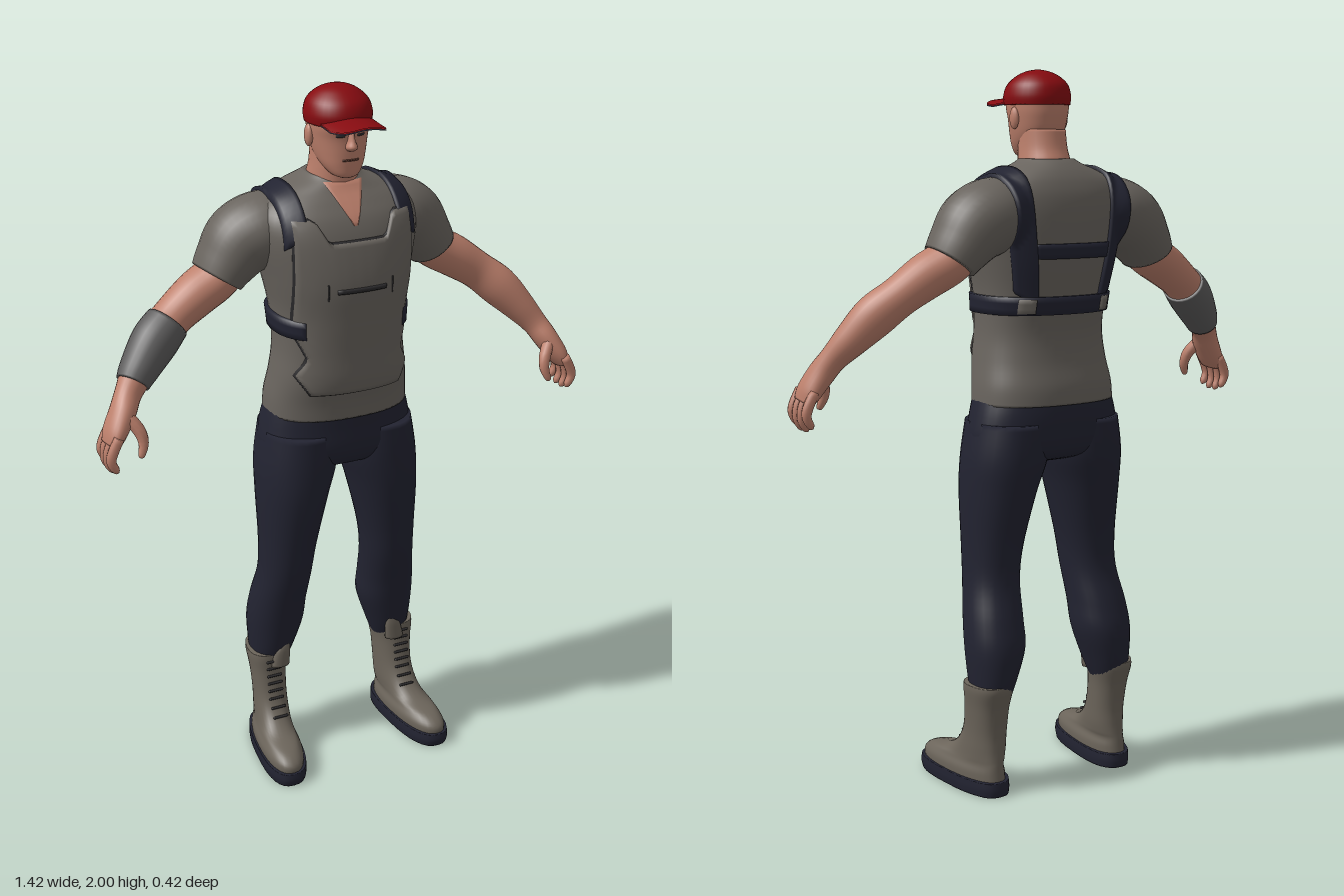
import * as THREE from 'three';

const V = (x, y, z) => new THREE.Vector3(x, y, z);
const paint = (name, color) => {
  const m = new THREE.MeshStandardMaterial({ color, side: THREE.DoubleSide });
  m.name = name;
  return m;
};

// Catmull-Rom through rows of numbers
function spline(rows, k = 5) {
  const out = [], at = i => rows[Math.max(0, Math.min(rows.length - 1, i))];
  for (let i = 0; i < rows.length - 1; i++) {
    const [a, b, c, d] = [at(i - 1), at(i), at(i + 1), at(i + 2)];
    for (let s = 0; s < k; s++) {
      const t = s / k;
      out.push(b.map((p, j) => p + 0.5 * t * (c[j] - a[j] + t * (2 * a[j] - 5 * p + 4 * c[j] - d[j]
        + t * (3 * (p - c[j]) + d[j] - a[j])))));
    }
  }
  out.push(rows[rows.length - 1]);
  return out;
}

function build(name, mat, pts, index) {
  const g = new THREE.BufferGeometry().setFromPoints(pts);
  g.setIndex(index);
  g.computeVertexNormals();
  const m = new THREE.Mesh(g, mat);
  m.name = name;
  return m;
}

// Skin over closed rings, capped at both ends
function loft(name, mat, rings) {
  const n = rings[0].length, pts = rings.flat(), idx = [], last = (rings.length - 1) * n;
  for (let i = 0; i < rings.length - 1; i++) for (let j = 0; j < n; j++) {
    const a = i * n + j, b = i * n + (j + 1) % n;
    idx.push(a, a + n, b, b, a + n, b + n);
  }
  const mid = r => r.reduce((s, p) => s.add(p), V(0, 0, 0)).divideScalar(n);
  const c0 = pts.push(mid(rings[0])) - 1, c1 = pts.push(mid(rings[rings.length - 1])) - 1;
  for (let j = 0; j < n; j++) {
    const k = (j + 1) % n;
    idx.push(c0, j, k, c1, last + k, last + j);
  }
  return build(name, mat, pts, idx);
}

// Upright form; rows rise: [y, centre x, half width, front z, back z]
function body(name, mat, rows, n = 2.2, seg = 32, shear = 0) {
  const p = (c, e = 2 / n) => Math.sign(c) * Math.abs(c) ** e;
  return loft(name, mat, spline(rows).map(([y, xc, rx, zf, zb]) => Array.from({ length: seg }, (_, j) => {
    const t = j / seg * 2 * Math.PI, z = (zf + zb) / 2 + (zf - zb) / 2 * p(Math.sin(t));
    return V(xc + rx * p(Math.cos(t)) + shear * Math.max(0, z + 0.1), y, z);
  })));
}

// Limb along a path; rows: [x, y, z, radius across, radius in depth]
function limb(name, mat, rows, seg = 20, k = 5) {
  const s = spline(rows, k), pos = s.map(r => V(r[0], r[1], r[2]));
  return loft(name, mat, s.map((r, i) => {
    const t = pos[Math.min(i + 1, s.length - 1)].clone().sub(pos[Math.max(i - 1, 0)]).normalize();
    const A = t.clone().cross(V(0, 0, 1)).normalize(), B = A.clone().cross(t);
    return Array.from({ length: seg }, (_, j) => {
      const a = j / seg * 2 * Math.PI;
      return pos[i].clone().addScaledVector(A, r[3] * Math.cos(a)).addScaledVector(B, r[4] * Math.sin(a));
    });
  }));
}

// Thin patch laid on target meshes; ray(u, v) gives [aim point, inward direction]
function drape(name, mat, targets, nu, nv, off, ray) {
  const pts = [], idx = [], caster = new THREE.Raycaster(), w = nu + 3;
  for (let j = -1; j <= nv + 1; j++) for (let i = -1; i <= nu + 1; i++) {
    const u = Math.min(nu, Math.max(0, i)) / nu, v = Math.min(nv, Math.max(0, j)) / nv;
    const edge = i < 0 || j < 0 || i > nu || j > nv;
    const [aim, dir] = ray(u, v);
    dir.normalize();
    caster.set(aim.clone().addScaledVector(dir, -1), dir);
    const hit = caster.intersectObjects(targets, false)[0];
    pts.push((hit ? hit.point : aim.clone()).addScaledVector(dir, edge ? 0.004 : -off));
    if (i <= nu && j <= nv) {
      const a = (j + 1) * w + i + 1;
      idx.push(a, a + 1, a + w, a + 1, a + w + 1, a + w);
    }
  }
  return build(name, mat, pts, idx);
}

function mirror(mesh) {
  const g = mesh.geometry.clone().scale(-1, 1, 1), a = g.index.array;
  for (let i = 0; i < a.length; i += 3) [a[i], a[i + 1]] = [a[i + 1], a[i]];
  g.computeVertexNormals();
  const m = new THREE.Mesh(g, mesh.material);
  m.name = mesh.name.replace('left', 'right');
  return m;
}

export function createModel() {
  const model = new THREE.Group();
  model.name = 'workman';
  const skin = paint('skin', 0xbd806c), cloth = paint('grey cloth', 0x69645e), navy = paint('navy', 0x222331);
  const red = paint('cap red', 0x860b10), leather = paint('boot leather', 0x6b645a), dark = paint('dark seam', 0x2b2a2c);
  const brown = paint('brow brown', 0x5c3a30), band = paint('wrap grey', 0x5d5c5c);
  const add = (...m) => model.add(...m);
  const pair = m => add(m, mirror(m));
  const flat = (x, y) => [V(x, y, 0), V(0, 0, -1)];
  const rect = (x0, x1, y0, y1) => (u, v) => flat(x0 + (x1 - x0) * u, y0 + (y1 - y0) * v);
  const lerp = THREE.MathUtils.lerp;

  // Shirt
  const torso = body('shirt', cloth, [
    [1.1, 0, 0.206, 0.105, -0.178], [1.15, 0, 0.203, 0.11, -0.175], [1.22, 0, 0.192, 0.125, -0.16],
    [1.3, 0, 0.182, 0.128, -0.157], [1.4, 0, 0.185, 0.134, -0.178], [1.5, 0, 0.205, 0.138, -0.195],
    [1.6, 0, 0.228, 0.122, -0.2], [1.66, 0, 0.226, 0.1, -0.195], [1.7, 0, 0.198, 0.07, -0.182],
    [1.728, 0, 0.145, 0.045, -0.165], [1.75, 0, 0.09, 0.03, -0.145], [1.762, 0, 0.07, 0.02, -0.13]], 2.4, 48);
  const sleeve = limb('left sleeve', cloth, [
    [0.12, 1.625, -0.07, 0.085, 0.1], [0.19, 1.615, -0.08, 0.1, 0.115], [0.25, 1.585, -0.087, 0.1, 0.108],
    [0.295, 1.535, -0.086, 0.082, 0.098], [0.322, 1.497, -0.083, 0.07, 0.089]], 28);
  const sleeveR = mirror(sleeve), bust = [torso, sleeve, sleeveR];
  add(...bust);
  add(drape('open collar', skin, bust, 10, 10, 0.003, (u, v) => flat((u - 0.5) * 2 * (0.005 + 0.05 * v), 1.65 + 0.1 * v)));

  // Vest front with a dark seam around it
  const waist = [[1.18, 0.125], [1.24, 0.165], [1.29, 0.135], [1.36, 0.165], [1.55, 0.168], [1.7, 0.168]];
  const vest = m => (u, v) => {
    const s = u * 2 - 1, top = lerp(1.612, 1.672, THREE.MathUtils.smoothstep(Math.abs(s), 0.45, 0.7)) + m;
    const y = lerp(1.188 - m, top, v), i = Math.max(1, waist.findIndex(w => w[0] >= y));
    const [a, b] = [waist[i - 1], waist[i]];
    return flat(s * (lerp(a[1], b[1], Math.max(0, (y - a[0]) / (b[0] - a[0]))) + m), y);
  };
  add(drape('vest seam', dark, bust, 28, 36, 0.006, vest(0.004)));
  add(drape('vest panel', cloth, bust, 28, 36, 0.013, vest(0)));
  add(drape('chest pocket slit', dark, bust, 10, 2, 0.017, rect(-0.07, 0.07, 1.482, 1.494)));
  for (const x of [-0.095, 0.09]) add(drape('pocket stitch', dark, bust, 1, 3, 0.015, rect(x, x + 0.003, 1.465, 1.51)));

  // Harness: shoulder straps, chest belt, back bar, buckles
  pair(drape('left shoulder strap', navy, bust, 6, 44, 0.011, (u, v) => {
    const a = lerp(0.72, 3.9, v), x = lerp(0.16, 0.125, Math.max(0, v - 0.4) / 0.6) + (u - 0.5) * 0.056;
    return [V(x, 1.5, -0.04), V(0, -Math.sin(a), -Math.cos(a))];
  }));
  add(drape('chest belt', navy, [torso], 64, 3, 0.011, (u, v) => {
    const a = lerp(0.82, 2 * Math.PI - 0.82, u);
    return [V(0, 1.348 + 0.05 * v, -0.03), V(-Math.sin(a), 0, -Math.cos(a))];
  }));
  const rear = (x0, x1, y0, y1) => (u, v) => [V(lerp(x0, x1, u), lerp(y0, y1, v), 0), V(0, 0, 1)];
  add(drape('back bar', navy, [torso], 16, 3, 0.009, rear(-0.12, 0.12, 1.5, 1.54)));
  pair(drape('left back buckle', cloth, [torso], 3, 3, 0.017, rear(0.105, 0.145, 1.352, 1.392)));

  // Arms and hands
  const armRows = [[0.27, 1.56, -0.085, 0.06, 0.07], [0.32, 1.5, -0.082, 0.061, 0.074], [0.39, 1.458, -0.072, 0.06, 0.067],
    [0.46, 1.41, -0.06, 0.054, 0.059], [0.52, 1.36, -0.035, 0.057, 0.059], [0.575, 1.3, -0.008, 0.046, 0.05],
    [0.615, 1.25, 0.018, 0.036, 0.038], [0.64, 1.21, 0.04, 0.034, 0.045], [0.668, 1.165, 0.055, 0.029, 0.051],
    [0.683, 1.135, 0.06, 0.02, 0.047]];
  pair(limb('left arm and palm', skin, armRows, 24));
  for (let k = 0; k < 4; k++) {
    const z = 0.016 + 0.029 * k, d = k === 0 || k === 3 ? 0.01 : 0;
    pair(limb('left finger', skin, [[0.672, 1.165, z, 0.014, 0.014], [0.692, 1.125, z, 0.0145, 0.014],
      [0.696, 1.09 + d, z, 0.013, 0.013], [0.684, 1.066 + d, z, 0.01, 0.01], [0.678, 1.06 + d, z, 0.002, 0.002]], 10, 3));
  }
  pair(limb('left thumb', skin, [[0.64, 1.21, 0.065, 0.018, 0.018], [0.614, 1.175, 0.088, 0.017, 0.017],
    [0.606, 1.14, 0.1, 0.014, 0.014], [0.616, 1.108, 0.108, 0.009, 0.009], [0.618, 1.102, 0.109, 0.002, 0.002]], 10, 3));
  add(mirror(limb('left forearm wrap', band, [[0.475, 1.4, -0.054, 0.059, 0.064], [0.52, 1.36, -0.035, 0.063, 0.065],
    [0.575, 1.3, -0.008, 0.052, 0.056], [0.598, 1.272, 0.007, 0.045, 0.048]], 24)));

  // Trousers
  add(body('trouser seat', navy, [[0.935, 0, 0.12, 0.04, -0.1], [0.955, 0, 0.2, 0.08, -0.15], [1.0, 0, 0.226, 0.1, -0.17],
    [1.07, 0, 0.216, 0.1, -0.174], [1.14, 0, 0.196, 0.1, -0.166]], 2.4, 40));
  pair(body('left trouser leg', navy, [[0.27, 0.2, 0.05, -0.025, -0.138], [0.33, 0.192, 0.064, 0, -0.153],
    [0.42, 0.18, 0.081, 0.02, -0.16], [0.5, 0.175, 0.08, 0.037, -0.142], [0.6, 0.164, 0.076, 0.062, -0.112],
    [0.7, 0.156, 0.081, 0.078, -0.115], [0.85, 0.14, 0.099, 0.1, -0.145], [0.95, 0.124, 0.112, 0.104, -0.166],
    [1.05, 0.115, 0.105, 0.1, -0.168]], 2.2, 28));

  // Boots
  pair(body('left boot', leather, [[0.03, 0.207, 0.06, 0.2, -0.135], [0.06, 0.207, 0.06, 0.2, -0.132],
    [0.083, 0.207, 0.052, 0.165, -0.13], [0.1, 0.205, 0.05, 0.09, -0.128], [0.13, 0.203, 0.05, 0.04, -0.126],
    [0.18, 0.202, 0.05, 0.008, -0.126], [0.25, 0.203, 0.054, -0.005, -0.136], [0.3, 0.203, 0.061, -0.006, -0.15],
    [0.32, 0.203, 0.061, -0.008, -0.15]], 2.3, 32, 0.1));
  pair(body('left sole', navy, [[0, 0.207, 0.064, 0.205, -0.143], [0.02, 0.207, 0.066, 0.211, -0.145],
    [0.042, 0.207, 0.065, 0.207, -0.142]], 2.6, 32, 0.1));
  pair(body('left boot tongue', leather, [[0.28, 0.19, 0.03, 0.008, -0.03], [0.33, 0.182, 0.024, 0.008, -0.02],
    [0.355, 0.174, 0.012, 0.004, -0.01]], 2.2, 12));
  for (let k = 0; k < 8; k++) {
    const y = 0.13 + k * 0.024, z = [0.04, 0.024, 0.009, 0.004, 0, -0.003, -0.005, -0.005][k];
    const lace = new THREE.Mesh(new THREE.CapsuleGeometry(0.004, 0.04, 3, 8).rotateZ(Math.PI / 2).translate(0.21, y, z), dark);
    lace.name = 'left lace';
    pair(lace);
  }

  // Head
  add(body('neck', skin, [[1.66, 0, 0.08, 0.03, -0.13], [1.74, 0, 0.07, 0.034, -0.128], [1.79, 0, 0.064, 0.036, -0.11],
    [1.84, 0, 0.062, 0.03, -0.1]], 2.1, 28));
  const head = body('head', skin, [[1.766, 0, 0.018, 0.06, 0.02], [1.775, 0, 0.038, 0.07, -0.01], [1.8, 0, 0.056, 0.073, -0.05],
    [1.83, 0, 0.067, 0.074, -0.085], [1.87, 0, 0.075, 0.074, -0.097], [1.9, 0, 0.079, 0.08, -0.1],
    [1.93, 0, 0.077, 0.076, -0.098], [1.97, 0, 0.05, 0.05, -0.07]], 2.3, 36);
  add(head);
  add(body('nose', skin, [[1.842, 0, 0.011, 0.086, 0.05], [1.852, 0, 0.016, 0.099, 0.05], [1.87, 0, 0.01, 0.092, 0.05],
    [1.9, 0, 0.008, 0.08, 0.05]], 2, 14));
  const ear = new THREE.Mesh(new THREE.SphereGeometry(1, 12, 10).scale(0.011, 0.03, 0.018).translate(0.079, 1.87, -0.018), skin);
  ear.name = 'left ear';
  pair(ear);
  pair(drape('left eye', dark, [head], 4, 2, 0.002, rect(0.018, 0.04, 1.878, 1.884)));
  pair(drape('left brow', brown, [head], 4, 2, 0.004, rect(0.014, 0.05, 1.893, 1.9)));
  add(drape('mouth', brown, [head], 6, 2, 0.002, rect(-0.023, 0.023, 1.814, 1.819)));

  // Cap crown and curved brim
  add(body('cap crown', red, [[1.905, 0, 0.087, 0.084, -0.103], [1.93, 0, 0.089, 0.087, -0.105], [1.96, 0, 0.08, 0.074, -0.096],
    [1.983, 0, 0.056, 0.046, -0.07], [1.995, 0, 0.03, 0.02, -0.042], [2, 0, 0.004, -0.006, -0.016]], 2.1, 36));
  const brim = (name, mat, drop) => {
    const pts = [], idx = [];
    for (let j = 0; j <= 10; j++) for (let i = 0; i <= 16; i++) {
      const s = i / 8 - 1, x = 0.073 * s, front = 0.105 + 0.075 * (1 - Math.abs(s) ** 3.5) ** 0.5;
      pts.push(V(x, 1.931 - 0.018 * s * s - 0.006 * j / 10 - drop, lerp(0.03, front, j / 10)));
      const a = j * 17 + i;
      if (i < 16 && j < 10) idx.push(a, a + 17, a + 1, a + 1, a + 17, a + 18);
    }
    return build(name, mat, pts, idx);
  };
  add(brim('cap brim', red, 0), brim('brim middle', red, 0.003), brim('brim underside', navy, 0.006));
  const button = new THREE.Mesh(new THREE.SphereGeometry(0.006, 10, 8).scale(1, 0.5, 1).translate(0, 1.997, -0.011), red);
  button.name = 'cap button';
  add(button);
  return model;
}
